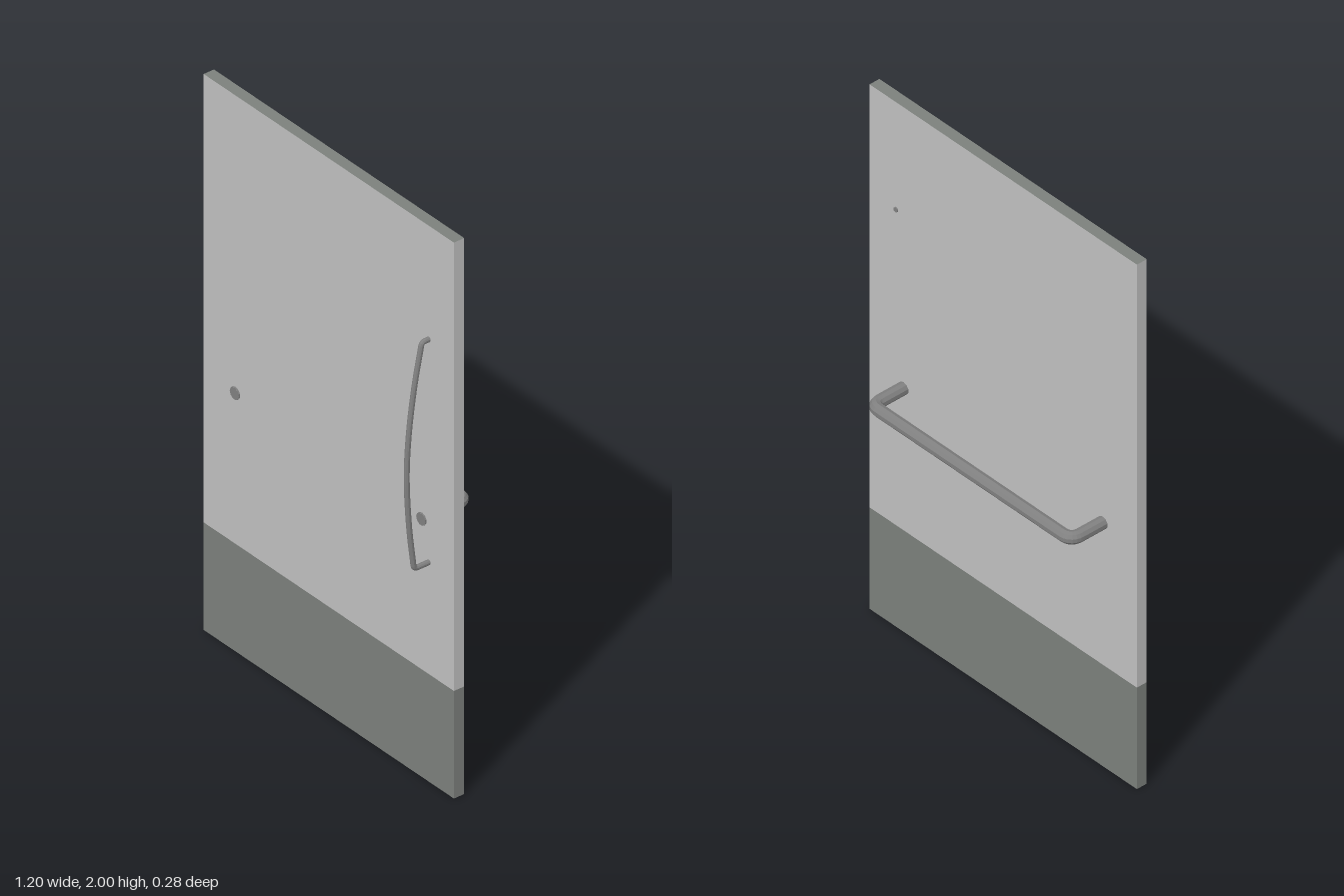
import * as THREE from 'three';

const V = (x, y, z) => new THREE.Vector3(x, y, z);

export function createModel() {
  const model = new THREE.Group();
  model.name = 'door';

  const mat = (name, color) => {
    const m = new THREE.MeshStandardMaterial({ color });
    m.name = name;
    return m;
  };
  const panelGrey = mat('panelGrey', 0xc0c0c0);
  const plateGrey = mat('plateGrey', 0x7c807c);
  const metalGrey = mat('metalGrey', 0x808080);
  metalGrey.flatShading = true;

  const add = (name, geometry, material, parent = model) => {
    const mesh = new THREE.Mesh(geometry, material);
    mesh.name = name;
    parent.add(mesh);
    return mesh;
  };

  // Door leaf: pale upper panel with a dark top edge, dark kick plate below
  const W = 1.2, H = 2, T = 0.04, Z = 0.025, KICK = 0.387;
  add('upperPanel', new THREE.BoxGeometry(W, H - KICK, T),
    [panelGrey, panelGrey, plateGrey, plateGrey, panelGrey, panelGrey])
    .position.set(0, (H + KICK) / 2, Z);
  add('kickPlate', new THREE.BoxGeometry(W, KICK, T), plateGrey)
    .position.set(0, KICK / 2, Z);

  // Round rod with closed ends along a curve
  const addRod = (name, curve, segments, radius, sides) => {
    const group = new THREE.Group();
    group.name = name;
    model.add(group);
    add(name + 'Rod', new THREE.TubeGeometry(curve, segments, radius, sides), metalGrey, group);
    for (const t of [0, 1]) {
      const cap = add(name + 'End', new THREE.CircleGeometry(radius, sides), metalGrey, group);
      cap.position.copy(curve.getPointAt(t));
      const outward = curve.getTangentAt(t).multiplyScalar(t ? 1 : -1);
      cap.quaternion.setFromUnitVectors(V(0, 0, 1), outward);
    }
  };

  // Horizontal bar at the back, its legs passing through the door
  const bx = 0.447, by = 0.93, bz = -0.124, bend = 0.035;
  const bar = new THREE.CurvePath();
  bar.add(new THREE.LineCurve3(V(-bx, by, 0.05), V(-bx, by, bz + bend)));
  bar.add(new THREE.QuadraticBezierCurve3(V(-bx, by, bz + bend), V(-bx, by, bz), V(-bx + bend, by, bz)));
  bar.add(new THREE.LineCurve3(V(-bx + bend, by, bz), V(bx - bend, by, bz)));
  bar.add(new THREE.QuadraticBezierCurve3(V(bx - bend, by, bz), V(bx, by, bz), V(bx, by, bz + bend)));
  bar.add(new THREE.LineCurve3(V(bx, by, bz + bend), V(bx, by, 0.05)));
  addRod('backBar', bar, 140, 0.022, 10);

  // Bowed vertical pull at the front, its legs passing through the door
  const px = 0.48, y0 = 0.79, y1 = 1.592;
  const bow = new THREE.CatmullRomCurve3([
    V(px, 0.802, 0.105), V(px, 0.95, 0.122), V(px, 1.13, 0.131),
    V(px, 1.28, 0.123), V(px, 1.44, 0.102), V(px, 1.58, 0.075),
  ]);
  const pull = new THREE.CurvePath();
  pull.add(new THREE.LineCurve3(V(px, y0, 0.001), V(px, y0, 0.09)));
  pull.add(new THREE.QuadraticBezierCurve3(V(px, y0, 0.09), V(px, y0, 0.103), V(px, 0.802, 0.105)));
  pull.add(bow);
  pull.add(new THREE.QuadraticBezierCurve3(V(px, 1.58, 0.075), V(px, y1, 0.073), V(px, y1, 0.06)));
  pull.add(new THREE.LineCurve3(V(px, y1, 0.06), V(px, y1, 0.001)));
  addRod('frontPull', pull, 160, 0.009, 10);

  return model;
}
